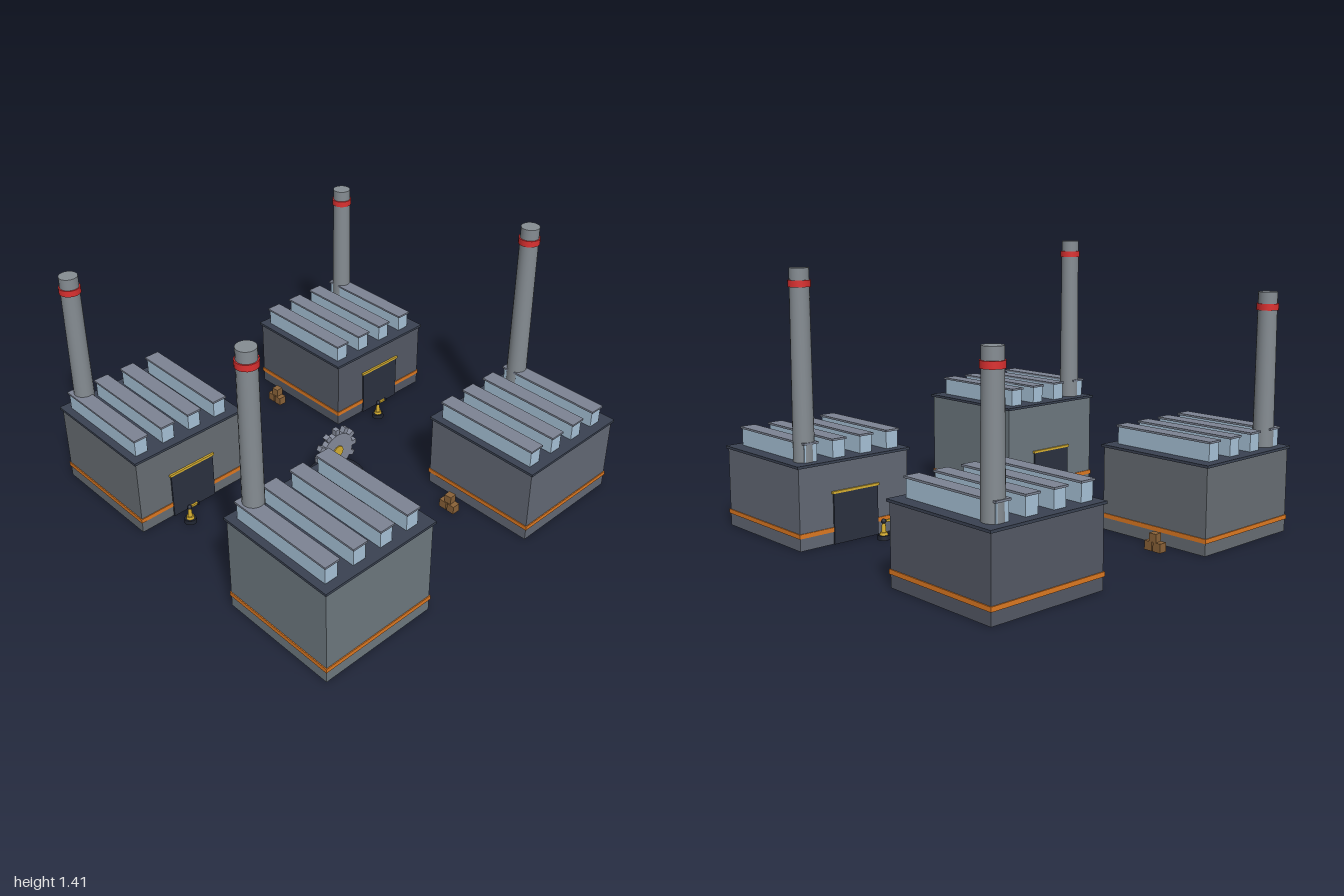
import * as THREE from 'three';

const mat = (color) => new THREE.MeshStandardMaterial({ color });
const M = {
  roof: mat(0x3a4252), glass: mat(0xa9c4da), cap: mat(0x7d8494), stripe: mat(0xe07a22),
  stack: mat(0x868d93), red: mat(0xdd3030), door: mat(0x2b3140), yellow: mat(0xd8b030),
  dark: mat(0x1f2430), steel: mat(0x868c9c), wood: mat(0x8a6238),
};

function add(parent, name, geometry, material, x = 0, y = 0, z = 0) {
  const mesh = new THREE.Mesh(geometry, material);
  mesh.name = name;
  mesh.position.set(x, y, z);
  parent.add(mesh);
  return mesh;
}
const box = (w, h, d) => new THREE.BoxGeometry(w, h, d);
const cyl = (rTop, rBottom, h, n = 16) => new THREE.CylinderGeometry(rTop, rBottom, h, n);
function group(parent, name, x, z) {
  const g = new THREE.Group();
  g.name = name;
  g.position.set(x, 0, z);
  parent.add(g);
  return g;
}

// Factory hall; the door faces the middle of the yard
function building(root, { name, sx, sz, top, chimneyTop, color }) {
  const g = group(root, name, sx * 0.67, sz * 0.67);
  const wall = top - 0.013;
  add(g, 'walls', box(0.64, wall, 0.64), mat(color), 0, wall / 2, 0);
  add(g, 'safetyStripe', box(0.65, 0.022, 0.65), M.stripe, 0, 0.073, 0);
  add(g, 'roof', box(0.66, 0.013, 0.66), M.roof, 0, top - 0.0065, 0);

  // Rooflights with overhanging caps
  for (let i = 0; i < 4; i++) {
    const x = -0.255 + 0.16 * i;
    add(g, 'rooflight', box(0.07, 0.086, 0.565), M.glass, x, top + 0.043, 0);
    add(g, 'rooflightCap', box(0.083, 0.01, 0.58), M.cap, x, top + 0.091, 0);
  }

  // Chimney in the outer back corner
  const h = chimneyTop - top + 0.02;
  add(g, 'chimney', cyl(0.047, 0.052, h, 20), M.stack, sx * 0.232, chimneyTop - h / 2, -0.235);
  add(g, 'chimneyBand', cyl(0.054, 0.054, 0.032, 20), M.red, sx * 0.232, chimneyTop - 0.073, -0.235);

  // Door and lintel
  add(g, 'door', box(0.26, 0.25, 0.012), M.door, 0, 0.125, -sz * 0.322);
  add(g, 'doorLintel', box(0.275, 0.012, 0.018), M.yellow, 0, 0.256, -sz * 0.322);
}

// Upright gear on a round plinth
function gearMonument(root) {
  const g = group(root, 'gearMonument', 0, 0);
  add(g, 'plinth', cyl(0.15, 0.15, 0.012, 32), M.dark, 0, 0.006, 0);
  add(g, 'plinthRing', cyl(0.15, 0.15, 0.01, 32), M.yellow, 0, 0.017, 0);
  add(g, 'plinthTop', cyl(0.152, 0.152, 0.01, 32), M.dark, 0, 0.027, 0);
  add(g, 'pedestal', box(0.13, 0.045, 0.064), M.dark, 0, 0.053, 0);
  const wheel = group(g, 'gear', 0, 0);
  wheel.position.y = 0.192;
  add(wheel, 'gearDisc', cyl(0.104, 0.104, 0.034, 24), M.steel).rotation.x = Math.PI / 2;
  add(wheel, 'gearHub', cyl(0.033, 0.033, 0.046, 16), M.yellow).rotation.x = Math.PI / 2;
  for (let i = 0; i < 12; i++) {
    const a = (i * Math.PI) / 6;
    const tooth = add(wheel, 'gearTooth', box(0.04, 0.027, 0.03), M.steel,
      Math.cos(a) * 0.114, Math.sin(a) * 0.114, 0);
    tooth.rotation.z = a;
  }
}

// Small loading arm on a round foot
function loadingArm(root, x, z, turn) {
  const g = group(root, 'loadingArm', x, z);
  g.rotation.y = turn;
  add(g, 'armFoot', cyl(0.03, 0.033, 0.022), M.dark, 0, 0.011, 0);
  add(g, 'armCollar', cyl(0.018, 0.021, 0.014), M.yellow, 0, 0.029, 0);
  add(g, 'armPost', cyl(0.009, 0.012, 0.05, 12), M.yellow, 0, 0.06, 0);
  add(g, 'armJoint', new THREE.SphereGeometry(0.013, 12, 8), M.dark, 0, 0.09, 0);
  add(g, 'armBoom', box(0.045, 0.011, 0.011), M.yellow, 0.026, 0.09, 0);
  add(g, 'armGrip', box(0.014, 0.015, 0.014), M.dark, 0.054, 0.088, 0);
}

// Two crates with a third on top
function crateStack(root, x, z) {
  const g = group(root, 'crateStack', x, z);
  for (const s of [-1, 1]) add(g, 'crate', box(0.044, 0.045, 0.044), M.wood, 0, 0.0225, s * 0.026);
  add(g, 'topCrate', box(0.04, 0.042, 0.04), M.wood, 0.003, 0.066, 0).rotation.y = 0.08;
}

export function createModel() {
  const root = new THREE.Group();
  root.name = 'factoryYard';
  [
    { name: 'frontRightHall', sx: -1, sz: 1, top: 0.525, chimneyTop: 1.41, color: 0x6e7980 },
    { name: 'frontLeftHall', sx: 1, sz: 1, top: 0.413, chimneyTop: 1.33, color: 0x636976 },
    { name: 'backRightHall', sx: -1, sz: -1, top: 0.436, chimneyTop: 1.2, color: 0x686e74 },
    { name: 'backLeftHall', sx: 1, sz: -1, top: 0.393, chimneyTop: 1.09, color: 0x555a66 },
  ].forEach((hall) => building(root, hall));

  gearMonument(root);
  for (const x of [-0.766, 0.572]) {
    loadingArm(root, x, -0.256, 0);
    loadingArm(root, x, 0.256, Math.PI);
  }
  for (const x of [-0.257, 0.257]) {
    for (const z of [-0.767, 0.572]) crateStack(root, x, z);
  }
  return root;
}
